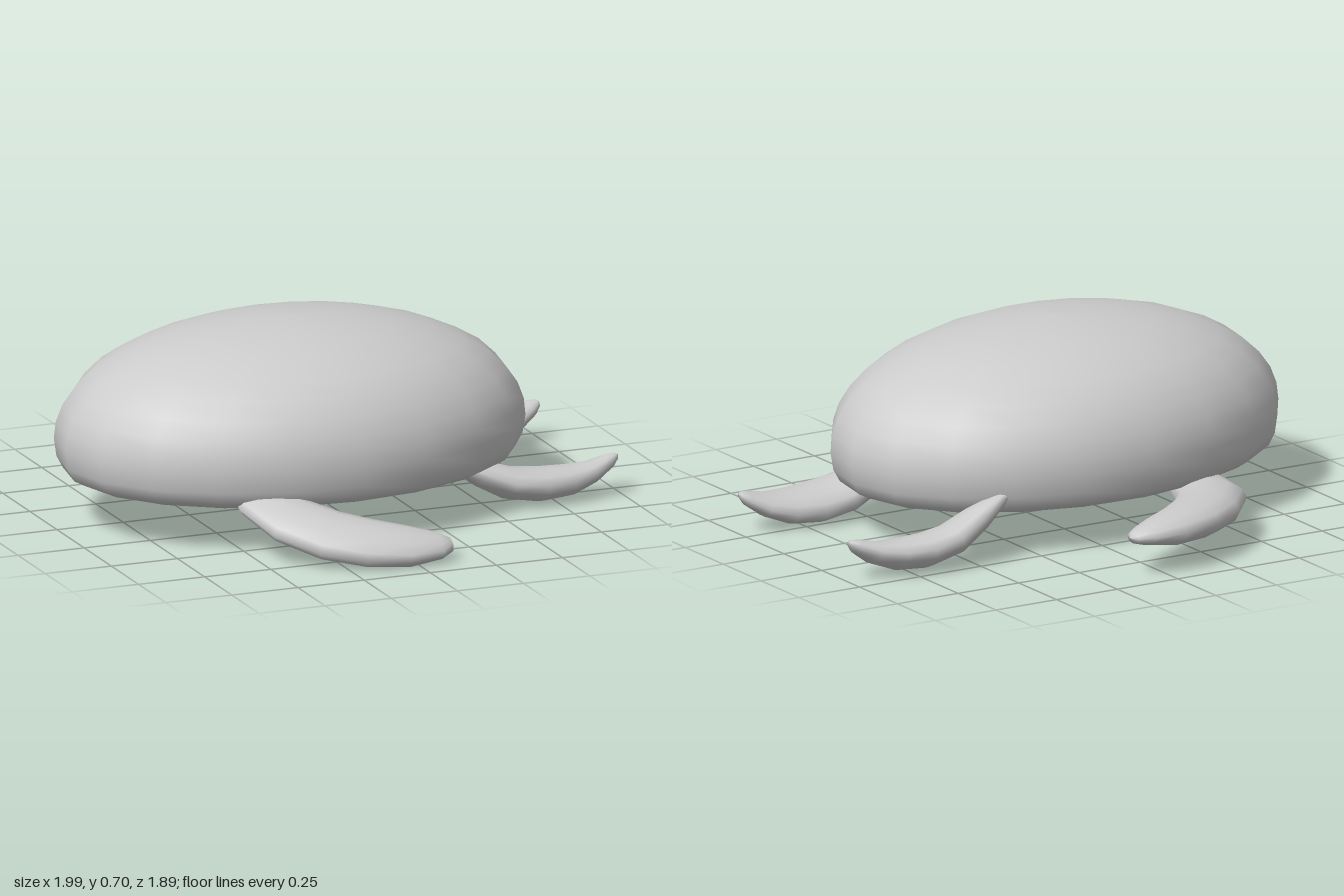
import * as THREE from 'three';

const material = new THREE.MeshStandardMaterial({ color: 0xcccccc, side: THREE.DoubleSide });

// Loft of elliptical sections. Each station: [x, y, z, half width, half thickness].
function flipper(name, normal, stations, sides = 12) {
  const path = new THREE.CatmullRomCurve3(stations.map((s) => new THREE.Vector3(s[0], s[1], s[2])));
  const up = new THREE.Vector3(...normal).normalize();
  const positions = [];
  const index = [];
  stations.forEach(([, , , width, thickness], i) => {
    const centre = path.points[i];
    const t = path.getTangent(i / (stations.length - 1));
    const w = new THREE.Vector3().crossVectors(up, t).normalize();
    const u = new THREE.Vector3().crossVectors(t, w);
    for (let j = 0; j < sides; j++) {
      const a = (j / sides) * Math.PI * 2;
      const p = centre.clone()
        .addScaledVector(w, Math.cos(a) * width)
        .addScaledVector(u, Math.sin(a) * thickness);
      positions.push(p.x, p.y, p.z);
      if (i < stations.length - 1) {
        const k = i * sides + j;
        const n = i * sides + ((j + 1) % sides);
        index.push(k, n, k + sides, n, n + sides, k + sides);
      }
    }
  });
  const geometry = new THREE.BufferGeometry();
  geometry.setAttribute('position', new THREE.Float32BufferAttribute(positions, 3));
  geometry.setIndex(index);
  geometry.computeVertexNormals();
  const mesh = new THREE.Mesh(geometry, material);
  mesh.name = name;
  return mesh;
}

export function createModel() {
  const group = new THREE.Group();
  group.name = 'turtleBody';

  // Domed shell with a rounded lip and a dished underside
  const profile = [
    [0, 0.25], [0.3, 0.243], [0.5, 0.225], [0.68, 0.195], [0.78, 0.172], [0.85, 0.164], [0.91, 0.17],
    [0.96, 0.192], [0.988, 0.235], [1, 0.3], [0.992, 0.36], [0.965, 0.42], [0.915, 0.48],
    [0.84, 0.54], [0.74, 0.59], [0.61, 0.635], [0.46, 0.67], [0.3, 0.693], [0.14, 0.706], [0, 0.71],
  ].map(([r, y]) => new THREE.Vector2(r, y));
  const shell = new THREE.Mesh(new THREE.LatheGeometry(profile, 20), material);
  shell.name = 'shell';
  shell.scale.set(0.865, 1, 0.61);
  shell.position.set(-0.135, 0, 0.027);
  shell.rotation.set(0, 0.05, -0.01);
  group.add(shell);

  // Long front flippers sweeping outward and back
  group.add(flipper('frontFlipperLeft', [0, 1, 0.42], [
    [-0.45, 0.24, 0.3, 0, 0],
    [-0.45, 0.22, 0.38, 0.06, 0.025],
    [-0.43, 0.19, 0.52, 0.11, 0.045],
    [-0.37, 0.145, 0.65, 0.125, 0.055],
    [-0.27, 0.108, 0.745, 0.125, 0.06],
    [-0.15, 0.085, 0.81, 0.118, 0.058],
    [-0.02, 0.07, 0.848, 0.1, 0.05],
    [0.09, 0.064, 0.858, 0.065, 0.035],
    [0.135, 0.062, 0.858, 0.032, 0.02],
    [0.145, 0.062, 0.858, 0, 0],
  ]));
  group.add(flipper('frontFlipperRight', [0, 1, 0.05], [
    [-0.45, 0.14, -0.22, 0, 0],
    [-0.45, 0.14, -0.3, 0.06, 0.03],
    [-0.44, 0.14, -0.44, 0.11, 0.055],
    [-0.4, 0.14, -0.58, 0.125, 0.065],
    [-0.3, 0.142, -0.7, 0.125, 0.066],
    [-0.18, 0.145, -0.79, 0.12, 0.064],
    [-0.04, 0.147, -0.853, 0.1, 0.055],
    [0.06, 0.148, -0.875, 0.065, 0.035],
    [0.11, 0.148, -0.882, 0.032, 0.02],
    [0.122, 0.148, -0.883, 0, 0],
  ]));

  // Short rear flippers, dipping and then curling up at the tip
  const rear = (name, normal, z, rootLift) => flipper(name, normal, [
    [0.32, 0.165, -0.02, 0, 0],
    [0.38, 0.155, -0.015, 0.055, 0.025],
    [0.47, 0.125, -0.01, 0.095, 0.047],
    [0.57, 0.092, 0, 0.11, 0.058],
    [0.69, 0.077, 0, 0.112, 0.062],
    [0.8, 0.08, 0, 0.095, 0.056],
    [0.89, 0.1, 0, 0.068, 0.04],
    [0.96, 0.133, 0, 0.038, 0.025],
    [0.985, 0.148, 0, 0.018, 0.012],
    [0.992, 0.152, 0, 0, 0],
  ].map(([x, y, dz, w, t]) => [x, y + rootLift * Math.max(0, 0.6 - x), z + dz, w, t]));
  group.add(rear('rearFlipperLeft', [0, 1, -0.15], 0.31, 0.1));
  group.add(rear('rearFlipperRight', [0, 1, 0.25], -0.415, 0.3));

  return group;
}
